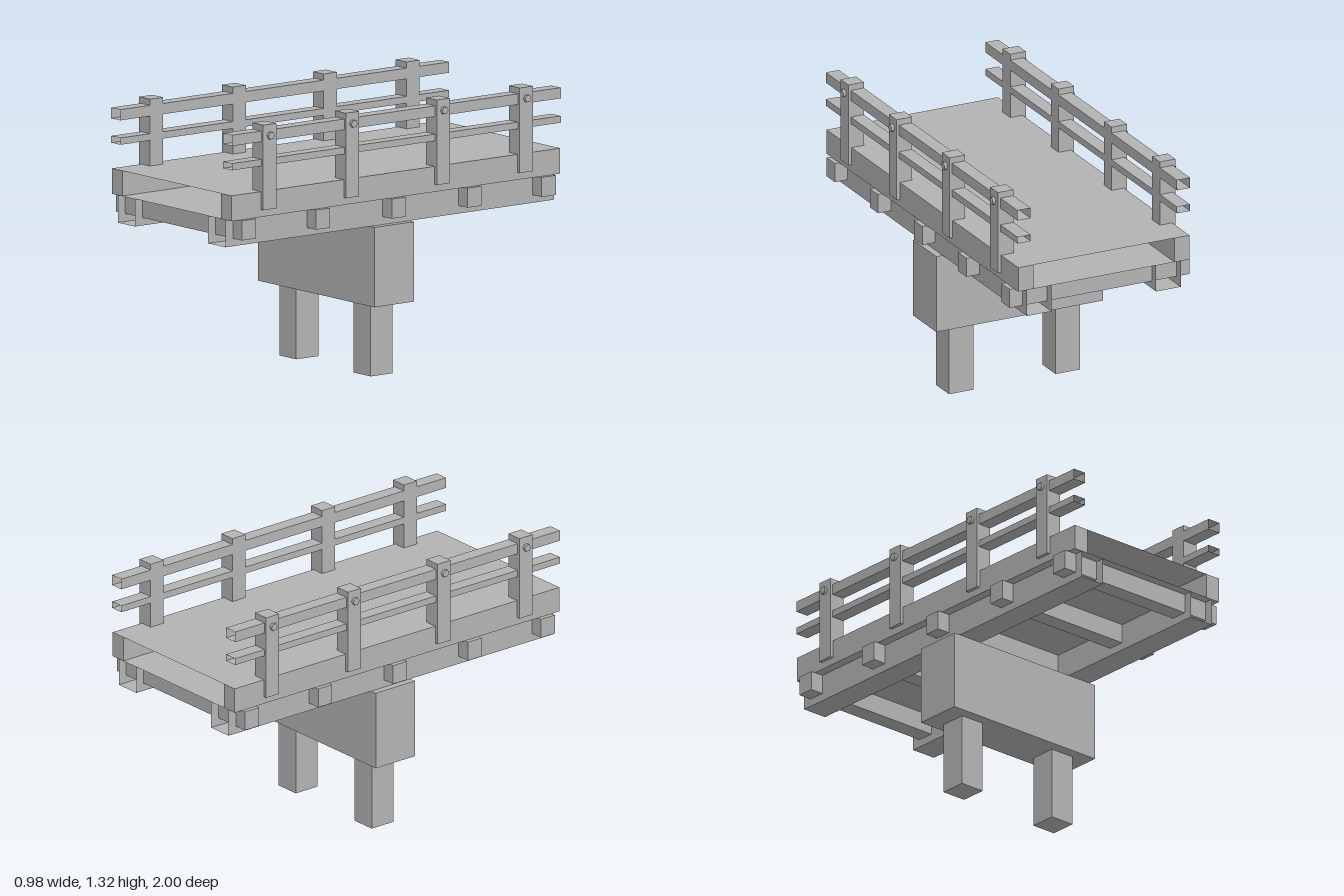
import * as THREE from 'three';

const grey = new THREE.MeshStandardMaterial({ color: 0xb3b3b3, side: THREE.DoubleSide });
grey.name = 'plain grey';

export function createModel() {
  const model = new THREE.Group();
  model.name = 'trestleBridge';

  function add(name, geometry, x, y, z) {
    const mesh = new THREE.Mesh(geometry, grey);
    mesh.name = name;
    mesh.position.set(x, y, z);
    model.add(mesh);
    return mesh;
  }

  // Box between two corners; open = hollow along z, without end caps
  function box(name, x0, x1, y0, y1, z0, z1, open = false) {
    const g = new THREE.BoxGeometry(x1 - x0, y1 - y0, z1 - z0);
    if (open) {
      g.setIndex(Array.from(g.index.array.slice(0, 24)));
      g.clearGroups();
    }
    return add(name, g, (x0 + x1) / 2, (y0 + y1) / 2, (z0 + z1) / 2);
  }

  // Same box on both sides, given for the +x side
  function pair(name, x0, x1, ...rest) {
    box(name + 'Left', x0, x1, ...rest);
    box(name + 'Right', -x1, -x0, ...rest);
  }

  // Pier: two legs and a heavy cap
  pair('leg', 0.22, 0.35, 0, 0.355, -0.067, 0.067);
  box('pierCap', -0.446, 0.446, 0.355, 0.742, -0.121, 0.121);

  // Long girders, open at the ends
  pair('girder', 0.28, 0.412, 0.742, 0.875, -1, 1, true);

  // Cross beams
  for (const z of [-0.912, -0.461, 0, 0.461, 0.912])
    box('crossBeam', -0.481, 0.481, 0.78, 0.875, z - 0.043, z + 0.043);

  // Deck, open at the ends, between two solid kerbs
  box('deck', -0.377, 0.377, 0.876, 0.998, -1, 1, true);
  pair('kerb', 0.377, 0.458, 0.875, 0.998, -1, 1);

  // Handrails, open at the ends
  pair('upperRail', 0.392, 0.462, 1.24, 1.292, -1, 1, true);
  pair('lowerRail', 0.392, 0.462, 1.122, 1.155, -1, 1, true);

  // Posts with hexagonal bolts on the outside
  const bolt = new THREE.CylinderGeometry(0.019, 0.019, 0.03, 6);
  bolt.rotateZ(Math.PI / 2);
  for (const z of [-0.78, -0.276, 0.276, 0.78]) {
    pair('post', 0.392, 0.475, 0.91, 1.322, z - 0.04, z + 0.04);
    for (const side of [-1, 1]) add('bolt', bolt, side * 0.475, 1.268, z);
  }
  return model;
}
